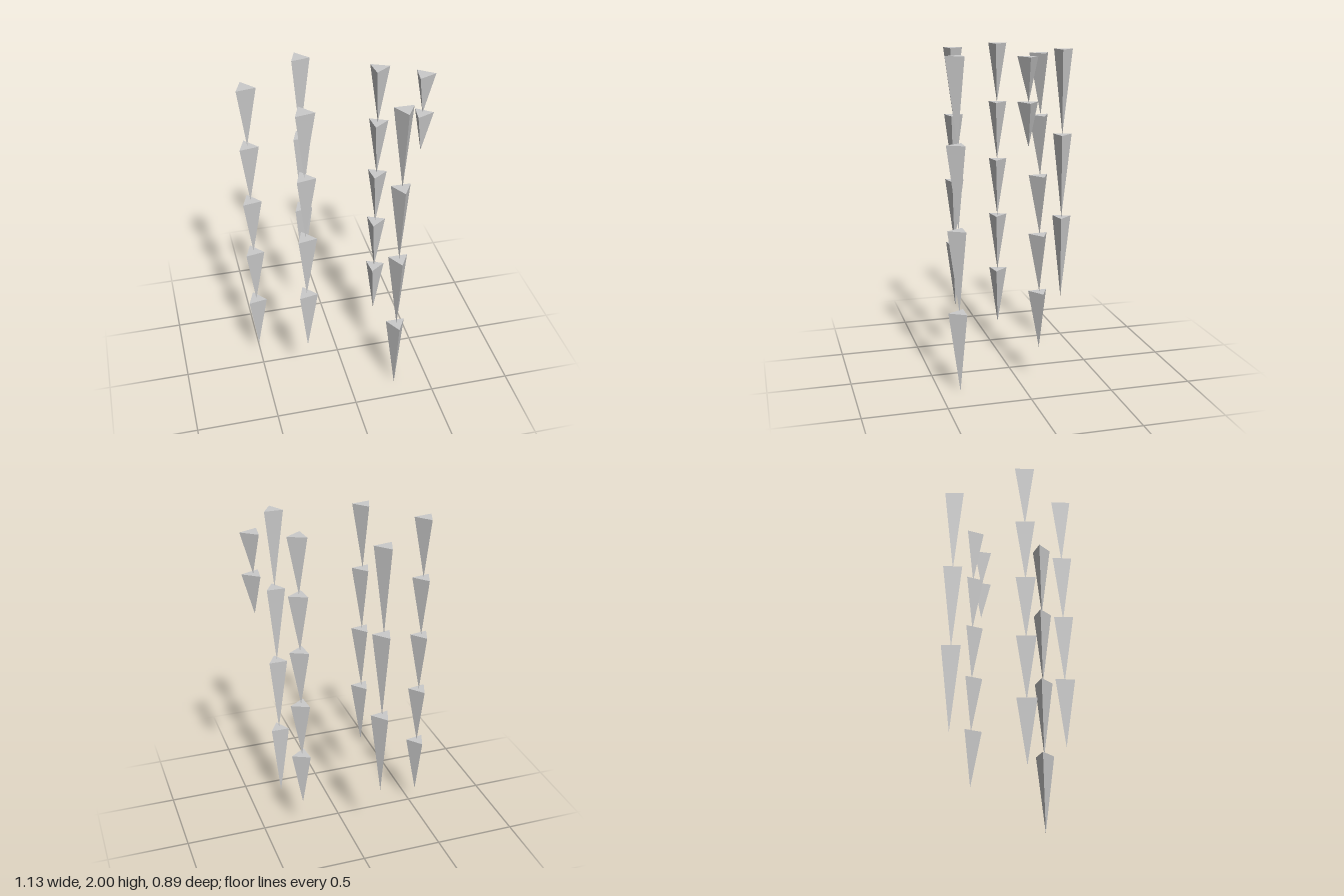
import * as THREE from 'three';

const RADIUS = 0.067;

// Hanging strands: position, turn (degrees from +x towards +z), top, spike length, spike count
const STRANDS = [
  { name: 'rightStrand', x: -0.515, z: -0.058, turn: 20, top: 2.0, length: 0.375, count: 5 },
  { name: 'frontRightStrand', x: -0.258, z: 0.289, turn: 19, top: 1.998, length: 0.41, count: 4 },
  { name: 'backStrand', x: -0.142, z: -0.382, turn: 19, top: 1.985, length: 0.528, count: 3 },
  { name: 'frontLeftStrand', x: 0.282, z: 0.379, turn: 90, top: 1.994, length: 0.4985, count: 4 },
  { name: 'backLeftStrand', x: 0.272, z: -0.112, turn: -5, top: 2.0, length: 0.354, count: 5 },
  { name: 'leftStrand', x: 0.498, z: 0.025, turn: 7, top: 2.0, length: 0.248, count: 2 },
];

// A column of three-sided spikes, each pointing down onto the next
function createStrand({ name, x, z, turn, top, length, count }, material) {
  const strand = new THREE.Group();
  strand.name = name;
  strand.position.set(x, 0, z);
  strand.rotation.y = THREE.MathUtils.degToRad(90 - turn);

  const geometry = new THREE.CylinderGeometry(RADIUS, 0, length, 3);
  for (let i = 0; i < count; i++) {
    const spike = new THREE.Mesh(geometry, material);
    spike.name = `spike${i + 1}`;
    spike.position.y = top - (i + 0.5) * length;
    strand.add(spike);
  }
  return strand;
}

export function createModel() {
  const model = new THREE.Group();
  model.name = 'hangingSpikes';
  const material = new THREE.MeshStandardMaterial({ color: 0xcccccc, flatShading: true });
  for (const strand of STRANDS) model.add(createStrand(strand, material));
  return model;
}
